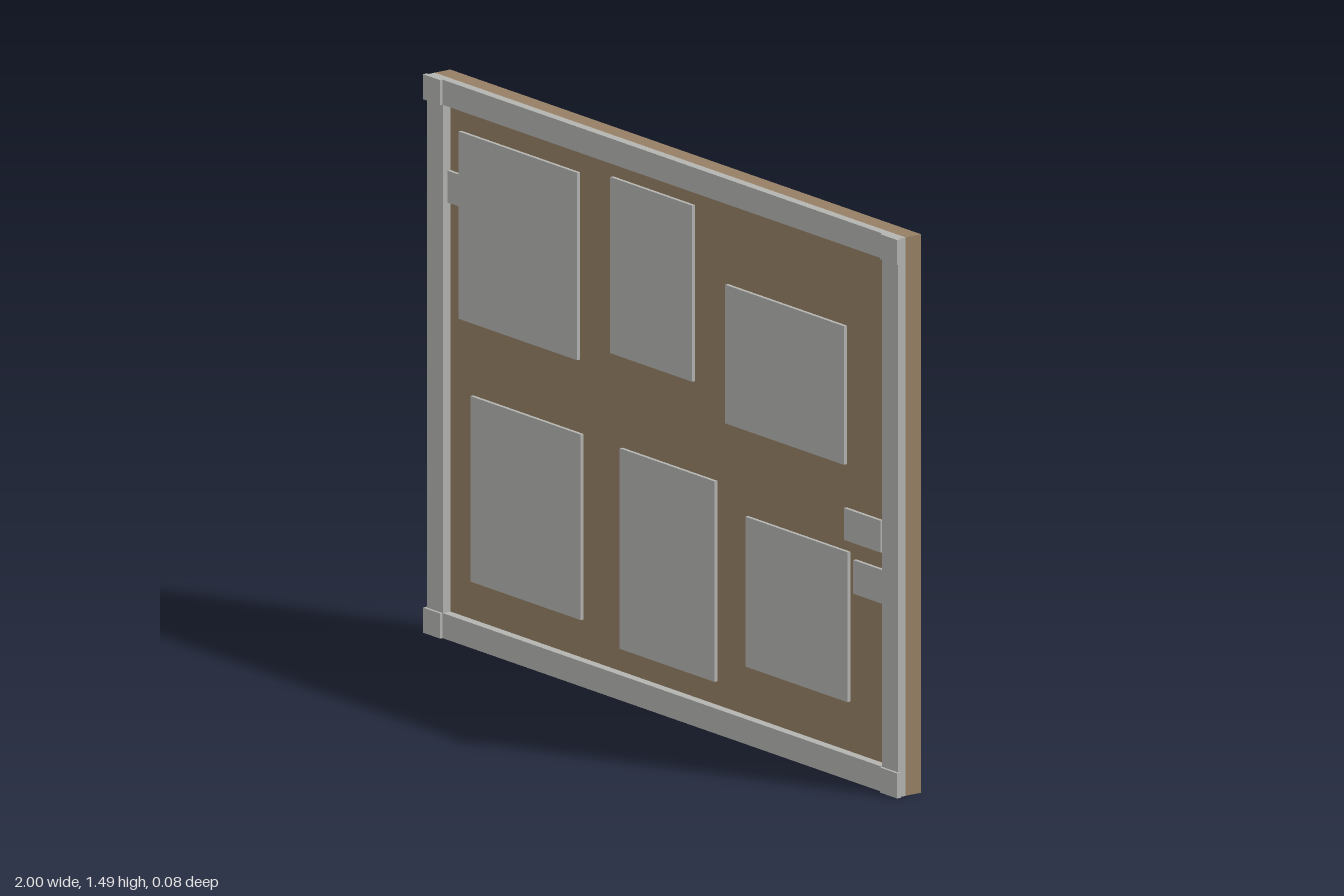
import * as THREE from 'three';

const W = 0.993, H = 1.49;           // half width and height of the board
const BACK = -0.04, PANEL = 0.01, FACE = 0.035; // depth levels
const BAR = 0.067, T = 0.003;        // frame bar width, sheet thickness

export function createModel() {
  const model = new THREE.Group();
  const cork = new THREE.MeshStandardMaterial({ color: 0x957f64 });
  cork.name = 'cork brown';
  const grey = new THREE.MeshStandardMaterial({ color: 0xb3b3b0 });
  grey.name = 'light grey';

  // Box given by its lower and upper limits on each axis
  const box = (name, material, x0, x1, y0, y1, z0, z1) => {
    const mesh = new THREE.Mesh(new THREE.BoxGeometry(x1 - x0, y1 - y0, z1 - z0), material);
    mesh.position.set((x0 + x1) / 2, (y0 + y1) / 2, (z0 + z1) / 2);
    mesh.name = name;
    model.add(mesh);
  };

  // Board: front panel with a rim, open at the back
  box('corkPanel', cork, -W + T, W - T, T, H - T, PANEL - T, PANEL);
  box('topRim', cork, -W, W, H - T, H, BACK, PANEL);
  box('bottomRim', cork, -W, W, 0, T, BACK, PANEL);
  box('leftRim', cork, W - T, W, T, H - T, BACK, PANEL);
  box('rightRim', grey, -W, -W + T, T, H - T, BACK, PANEL);

  // Frame: solid front bars
  box('topBar', grey, -W, W, H - BAR, H, PANEL, FACE);
  box('bottomBar', grey, -W, W, 0, BAR, PANEL, FACE);
  for (const s of [-1, 1]) {
    const a = s * W, b = s * (W - BAR);
    box('sideBar', grey, Math.min(a, b), Math.max(a, b), BAR, H - BAR, PANEL, FACE);
  }

  // Inner frame flanges running behind the panel
  for (const y of [BAR - T, H - BAR])
    box('horizontalFlange', grey, -W + T, W - T, y, y + T, BACK, PANEL - T);
  for (const x of [-W + BAR - T, W - BAR])
    box('verticalFlange', grey, x, x + T, T, H - T, BACK + 0.0005, PANEL - T);

  // Raised corner caps
  for (const x of [-1, 0.927])
    for (const y of [0, H - 0.067])
      box('cornerCap', grey, x, x + 0.073, y, y + 0.067, 0.03, 0.043);

  // Pinned sheets: [x0, x1, y0, y1]
  const sheets = [
    [-0.88, -0.38, 0.86, 1.36], [-0.24, 0.105, 0.91, 1.38], [0.245, 0.745, 0.83, 1.2],
    [-0.83, -0.365, 0.17, 0.665], [-0.2, 0.2, 0.13, 0.665], [0.33, 0.76, 0.2, 0.6],
    [-0.926, -0.88, 1.16, 1.245], [0.745, 0.9, 0.63, 0.715], [0.785, 0.926, 0.495, 0.585],
  ];
  for (const [x0, x1, y0, y1] of sheets)
    box('pinnedSheet', grey, x0, x1, y0, y1, PANEL, PANEL + 0.01);

  return model;
}
